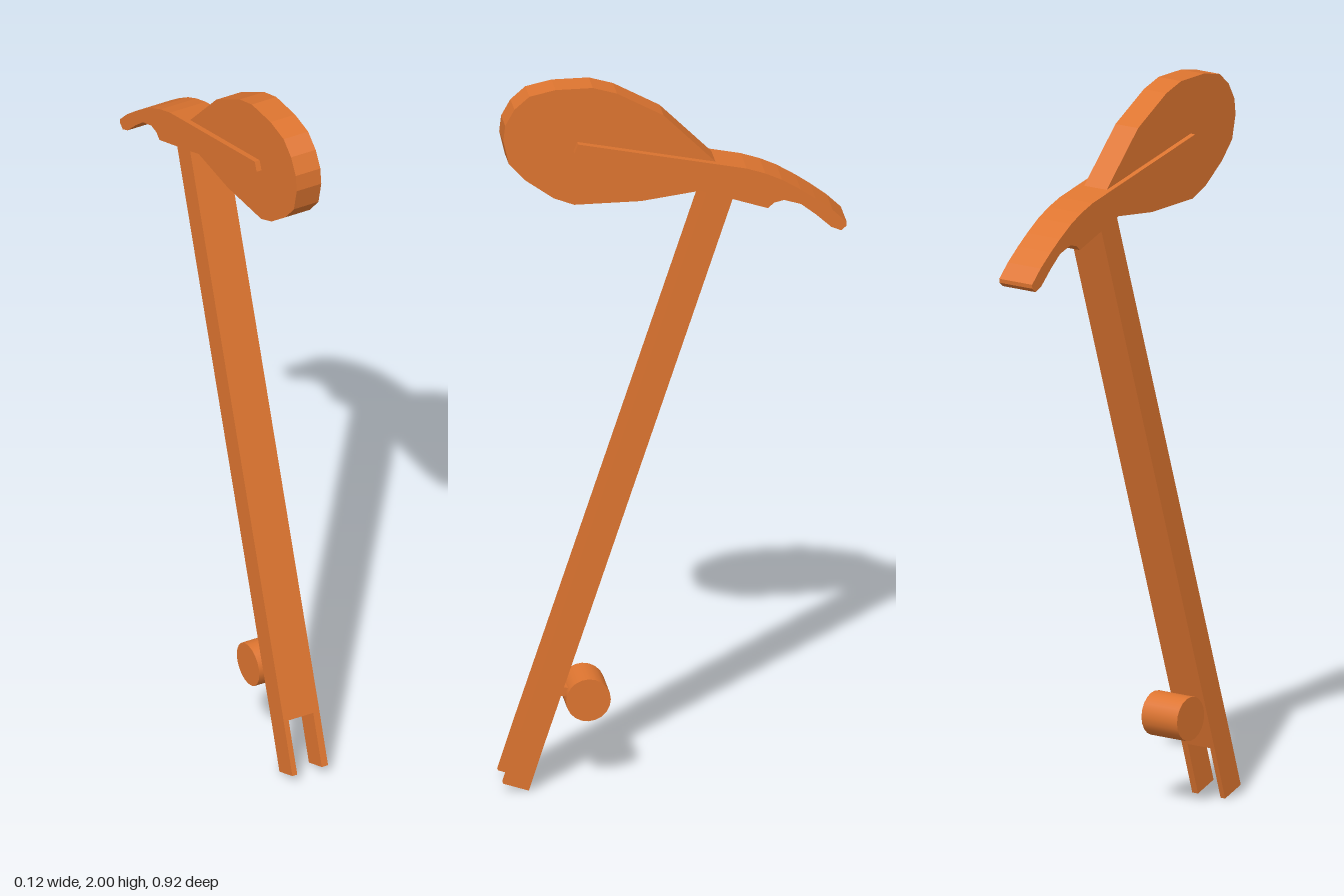
import * as THREE from 'three';

const orange = new THREE.MeshStandardMaterial({ color: 0xde7530 });
orange.name = 'orange';

// Extrudes a side outline, given as [z, y] points, across x from x0 to x1
function plate(name, points, x0, x1) {
  const shape = new THREE.Shape(points.map(([z, y]) => new THREE.Vector2(z, y)));
  const geometry = new THREE.ExtrudeGeometry(shape, { depth: x1 - x0, bevelEnabled: false });
  geometry.rotateY(-Math.PI / 2);
  geometry.translate(x1, 0, 0);
  const mesh = new THREE.Mesh(geometry, orange);
  mesh.name = name;
  return mesh;
}

export function createModel() {
  const group = new THREE.Group();
  group.name = 'hammer';
  const L = -0.056, R = 0.053;

  // Rounded head, held between the cheeks
  group.add(plate('roundHead', [
    [0.46, 1.86], [0.455, 1.905], [0.43, 1.95], [0.39, 1.985], [0.32, 2.0],
    [0.22, 2.0], [0.155, 1.98], [0.03, 1.91], [-0.11, 1.768], [-0.083, 1.69],
    [0.09, 1.668], [0.27, 1.668], [0.325, 1.69], [0.40, 1.745], [0.445, 1.795],
  ], -0.041, 0.034));

  // Tapered cheeks running back into the curved claw
  group.add(plate('clawAndCheeks', [
    [0.262, 1.848], [0.272, 1.822], [-0.083, 1.69], [-0.152, 1.667],
    [-0.247, 1.635], [-0.263, 1.65], [-0.29, 1.656], [-0.335, 1.642], [-0.375, 1.61],
    [-0.417, 1.571], [-0.443, 1.56], [-0.457, 1.572], [-0.458, 1.583],
    [-0.42, 1.62], [-0.375, 1.655], [-0.335, 1.683], [-0.285, 1.714],
    [-0.24, 1.735], [-0.19, 1.752], [-0.115, 1.768],
  ], L, R));

  // Slanted handle with a forked foot
  group.add(plate('handle', [
    [-0.083, 1.69], [0.417, 0.172], [0.348, 0.148], [-0.152, 1.667],
  ], L, R));
  const prong = [[0.417, 0.172], [0.463, 0.027], [0.394, 0.003], [0.348, 0.148]];
  group.add(plate('rightProng', prong, L, -0.041));
  group.add(plate('leftProng', prong, 0.034, R));

  // Cross roller and its short bracket
  const roller = new THREE.Mesh(new THREE.CylinderGeometry(0.06, 0.06, 0.118, 20), orange);
  roller.name = 'roller';
  roller.rotation.z = Math.PI / 2;
  roller.position.set(-0.002, 0.254, 0.235);
  group.add(roller);
  group.add(plate('rollerBracket', [
    [0.32, 0.29], [0.32, 0.265], [0.27, 0.255], [0.27, 0.28],
  ], -0.041, 0.034));

  return group;
}
